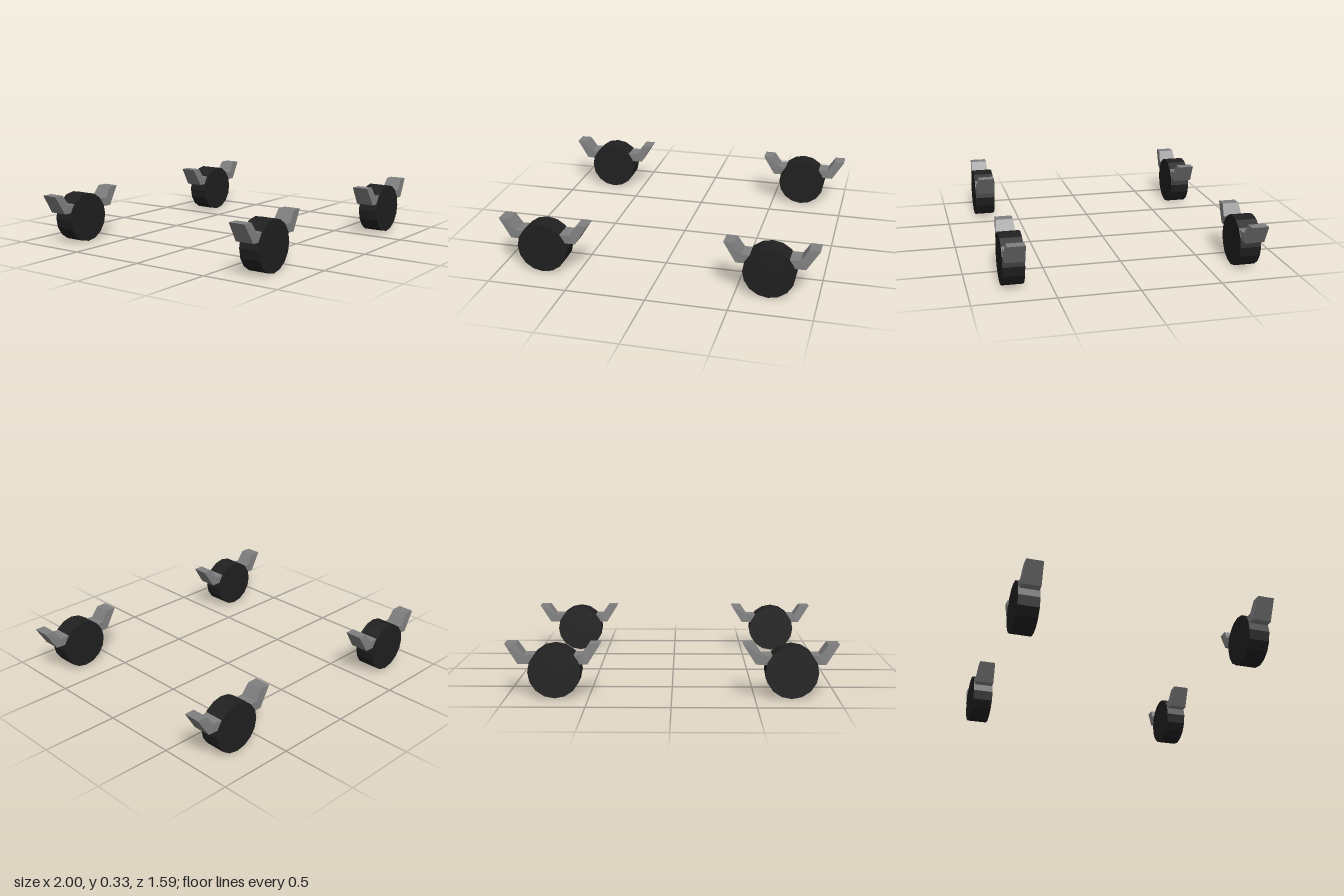
import * as THREE from 'three';

// Bent bracket: quad sections swept from one tip to the other.
// Each station: lower x, lower y, upper x, upper y, half depth.
function bracketGeometry() {
  const half = [
    [-0.2875, 0.332, -0.2200, 0.332, 0.053],
    [-0.2100, 0.209, -0.1750, 0.264, 0.060],
  ];
  const stations = [
    ...half,
    [0, 0.209, 0, 0.264, 0.064],
    ...half.map(([a, b, c, d, e]) => [-a, b, -c, d, e]).reverse(),
  ];
  const rings = stations.map(([xl, yl, xh, yh, h]) => [
    [xl, yl, h], [xh, yh, h], [xh, yh, -h], [xl, yl, -h],
  ]);
  const pos = [];
  const quad = (a, b, c, d) => pos.push(...a, ...b, ...c, ...a, ...c, ...d);
  for (let i = 0; i < rings.length - 1; i++) {
    const p = rings[i], q = rings[i + 1];
    for (let k = 0; k < 4; k++) {
      const n = (k + 1) % 4;
      quad(p[k], q[k], q[n], p[n]);
    }
  }
  // Tip faces
  const s = rings[0], e = rings[rings.length - 1];
  quad(s[3], s[0], s[1], s[2]);
  quad(e[0], e[3], e[2], e[1]);
  const geo = new THREE.BufferGeometry();
  geo.setAttribute('position', new THREE.Float32BufferAttribute(pos, 3));
  geo.computeVertexNormals();
  return geo;
}

export function createModel() {
  const model = new THREE.Group();
  model.name = 'wheelSet';

  const tyreMat = new THREE.MeshStandardMaterial({ color: 0x202020, flatShading: true });
  const bracketMat = new THREE.MeshStandardMaterial({ color: 0x808080, flatShading: true });

  // Sixteen-sided wheel with its axle along z
  const wheelGeo = new THREE.CylinderGeometry(0.16, 0.16, 0.133, 16).rotateX(Math.PI / 2);
  const bracketGeo = bracketGeometry();

  // One identical unit at each corner
  for (const sx of [-1, 1]) {
    for (const sz of [-1, 1]) {
      const unit = new THREE.Group();
      unit.name = (sz > 0 ? 'front' : 'back') + (sx > 0 ? 'Left' : 'Right') + 'Unit';
      unit.position.set(sx * 0.7125, 0, sz * 0.73);

      const wheel = new THREE.Mesh(wheelGeo, tyreMat);
      wheel.name = 'wheel';
      wheel.position.set(-0.008, 0.16, 0);

      const bracket = new THREE.Mesh(bracketGeo, bracketMat);
      bracket.name = 'bracket';

      unit.add(wheel, bracket);
      model.add(unit);
    }
  }
  return model;
}
